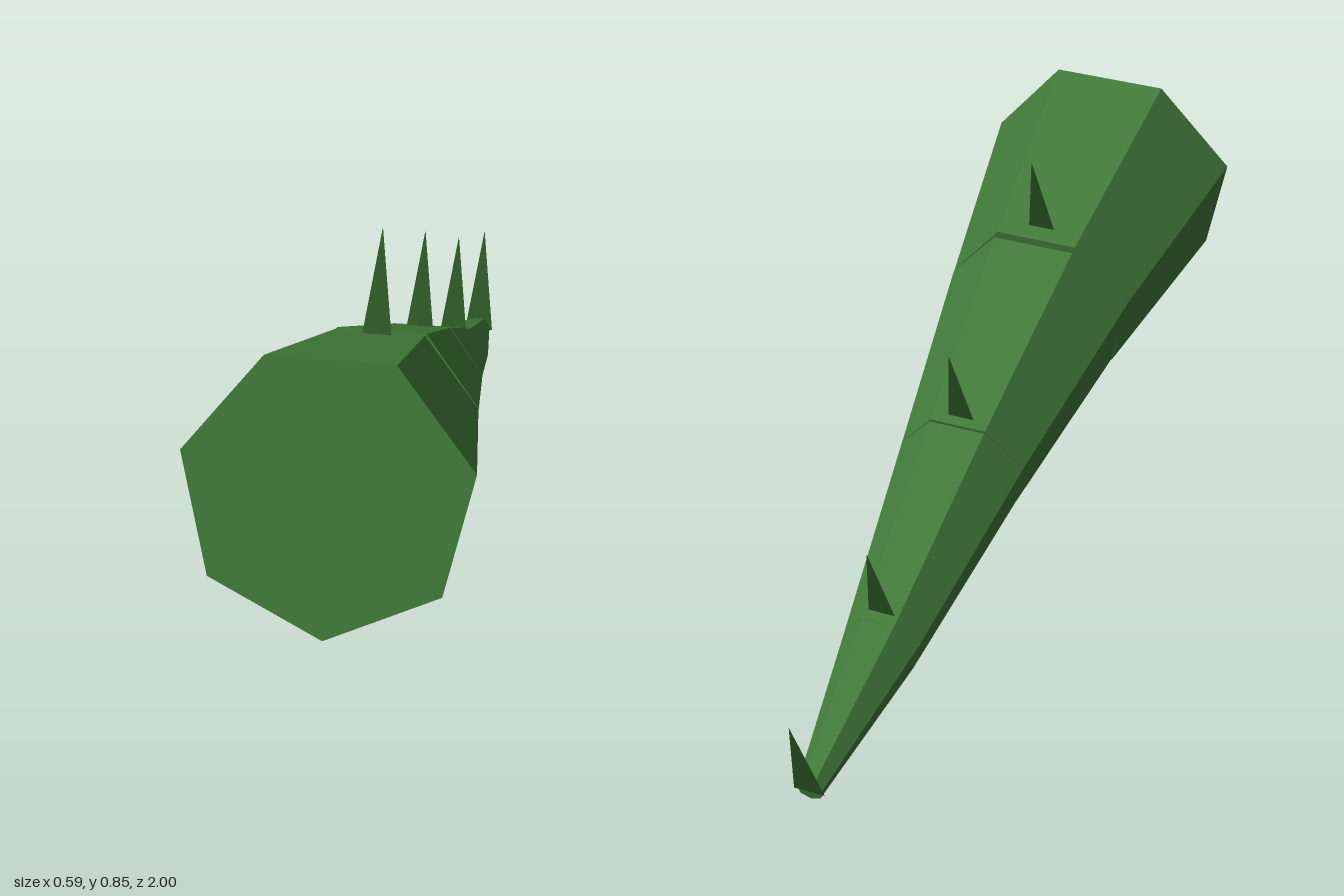
import * as THREE from 'three';

export function createModel() {
  const model = new THREE.Group();
  model.name = 'spikedTail';

  const makeMaterial = (name, color) => {
    const material = new THREE.MeshStandardMaterial({ color, flatShading: true, side: THREE.DoubleSide });
    material.name = name;
    return material;
  };
  const green = makeMaterial('leaf green', 0x427b3a);
  const darkGreen = makeMaterial('dark green', 0x2d5a27);

  // Joints along the spine, from the thick front end to the tip: y, z, radius
  const joints = [
    [0.533, 0.942, 0.301],
    [0.433, 0.432, 0.22],
    [0.289, -0.052, 0.15],
    [0.127, -0.523, 0.088],
    [0.0285, -0.916, 0.029],
  ];

  // Seven-sided tapered segments, each square to its own axis
  for (let i = 0; i < joints.length - 1; i++) {
    const [y0, z0, r0] = joints[i];
    const [y1, z1, r1] = joints[i + 1];
    const length = Math.hypot(y0 - y1, z0 - z1);
    const segment = new THREE.Mesh(new THREE.CylinderGeometry(r0, r1, length, 7), green);
    segment.geometry.rotateX(Math.PI / 2);
    segment.rotation.x = -Math.atan2(y0 - y1, z0 - z1);
    segment.position.set(0, (y0 + y1) / 2, (z0 + z1) / 2);
    segment.name = 'tailSegment' + (i + 1);
    model.add(segment);
  }

  // Flat triangular spikes leaning back, rooted in the segments: base y, base z
  const spikeShape = new THREE.Shape([
    new THREE.Vector2(-0.035, 0),
    new THREE.Vector2(0.035, 0),
    new THREE.Vector2(0, 0.255),
  ]);
  const spikeGeometry = new THREE.ShapeGeometry(spikeShape);
  const bases = [[0.611, 0.44], [0.392, -0.058], [0.181, -0.517], [0.026, -0.917]];
  bases.forEach(([y, z], i) => {
    const spike = new THREE.Mesh(spikeGeometry, darkGreen);
    spike.position.set(0, y, z);
    spike.rotation.x = -0.33;
    spike.name = 'spike' + (i + 1);
    model.add(spike);
  });

  return model;
}
